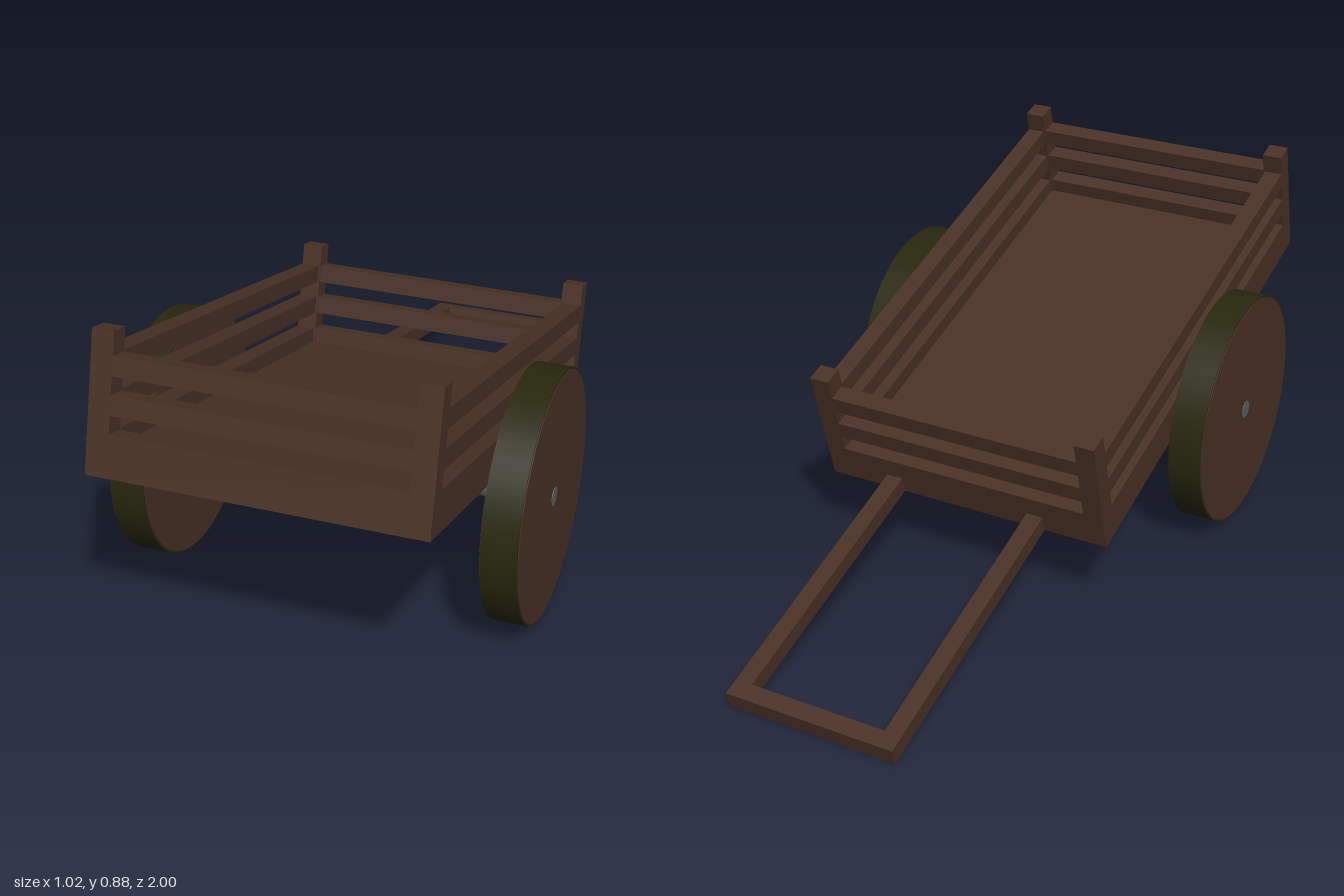
import * as THREE from 'three';

const wood = new THREE.MeshStandardMaterial({ color: 0x4a3226 });
wood.name = 'dark wood';
const tyre = new THREE.MeshStandardMaterial({ color: 0x28280f });
tyre.name = 'olive tyre';
const iron = new THREE.MeshStandardMaterial({ color: 0x5c5f69 });
iron.name = 'grey iron';

// Box given by its min and max corners
function slab(parent, name, [x0, y0, z0], [x1, y1, z1]) {
  const mesh = new THREE.Mesh(new THREE.BoxGeometry(x1 - x0, y1 - y0, z1 - z0), wood);
  mesh.position.set((x0 + x1) / 2, (y0 + y1) / 2, (z0 + z1) / 2);
  mesh.name = name;
  parent.add(mesh);
}

// Cylinder lying along x
function disc(parent, name, radius, x0, x1, sides, material) {
  const geometry = new THREE.CylinderGeometry(radius, radius, x1 - x0, sides).rotateZ(Math.PI / 2);
  const mesh = new THREE.Mesh(geometry, material);
  mesh.position.x = (x0 + x1) / 2;
  mesh.name = name;
  parent.add(mesh);
}

// Tilted bed: origin at the lower front edge, running back along -z
function createBed() {
  const bed = new THREE.Group();
  bed.name = 'cartBed';
  const W = 0.399, L = 1.295, post = 0.053, thick = 0.048;

  slab(bed, 'floor', [-W + thick, 0, -L + thick], [W - thick, 0.06, -thick]);

  // Corner posts
  for (const x of [-W, W - post])
    for (const z of [-L, -post])
      slab(bed, 'cornerPost', [x, 0, z], [x + post, 0.333, z + post]);

  // Bottom board and two rails on every side
  const rails = [['board', 0, 0.1], ['lowerRail', 0.143, 0.19], ['upperRail', 0.232, 0.278]];
  for (const [name, y0, y1] of rails) {
    for (const x of [-W, W - thick])
      slab(bed, 'side ' + name, [x, y0, -L + post], [x + thick, y1, -post]);
    for (const z of [-L, -thick])
      slab(bed, 'end ' + name, [-W + post, y0, z], [W - post, y1, z + thick]);
  }

  // Pulling handle
  const end = -2.064, bar = 0.045;
  for (const x of [-0.227, 0.227 - bar])
    slab(bed, 'handleShaft', [x, 0, end + bar], [x + bar, bar, -L]);
  slab(bed, 'handleGrip', [-0.227, 0, end], [0.227, bar, end + bar]);

  bed.position.set(0, 0.557, 1);
  bed.rotation.x = -THREE.MathUtils.degToRad(15.6);
  return bed;
}

// Axle with two solid wheels
function createWheels() {
  const wheels = new THREE.Group();
  wheels.name = 'axleAndWheels';
  disc(wheels, 'axle', 0.0305, -0.43, 0.43, 16, iron);
  for (const side of [-1, 1]) {
    const wheel = new THREE.Group();
    wheel.name = side > 0 ? 'leftWheel' : 'rightWheel';
    disc(wheel, 'tyre', 0.314, -0.044, 0.044, 48, tyre);
    disc(wheel, 'woodenDisc', 0.309, -0.046, 0.046, 48, wood);
    disc(wheel, 'hubCap', 0.024, -0.048, 0.048, 16, iron);
    wheel.position.x = side * 0.464;
    wheels.add(wheel);
  }
  wheels.position.set(0, 0.319, 0.393);
  return wheels;
}

export function createModel() {
  const cart = new THREE.Group();
  cart.name = 'handCart';
  cart.add(createBed(), createWheels());
  return cart;
}
